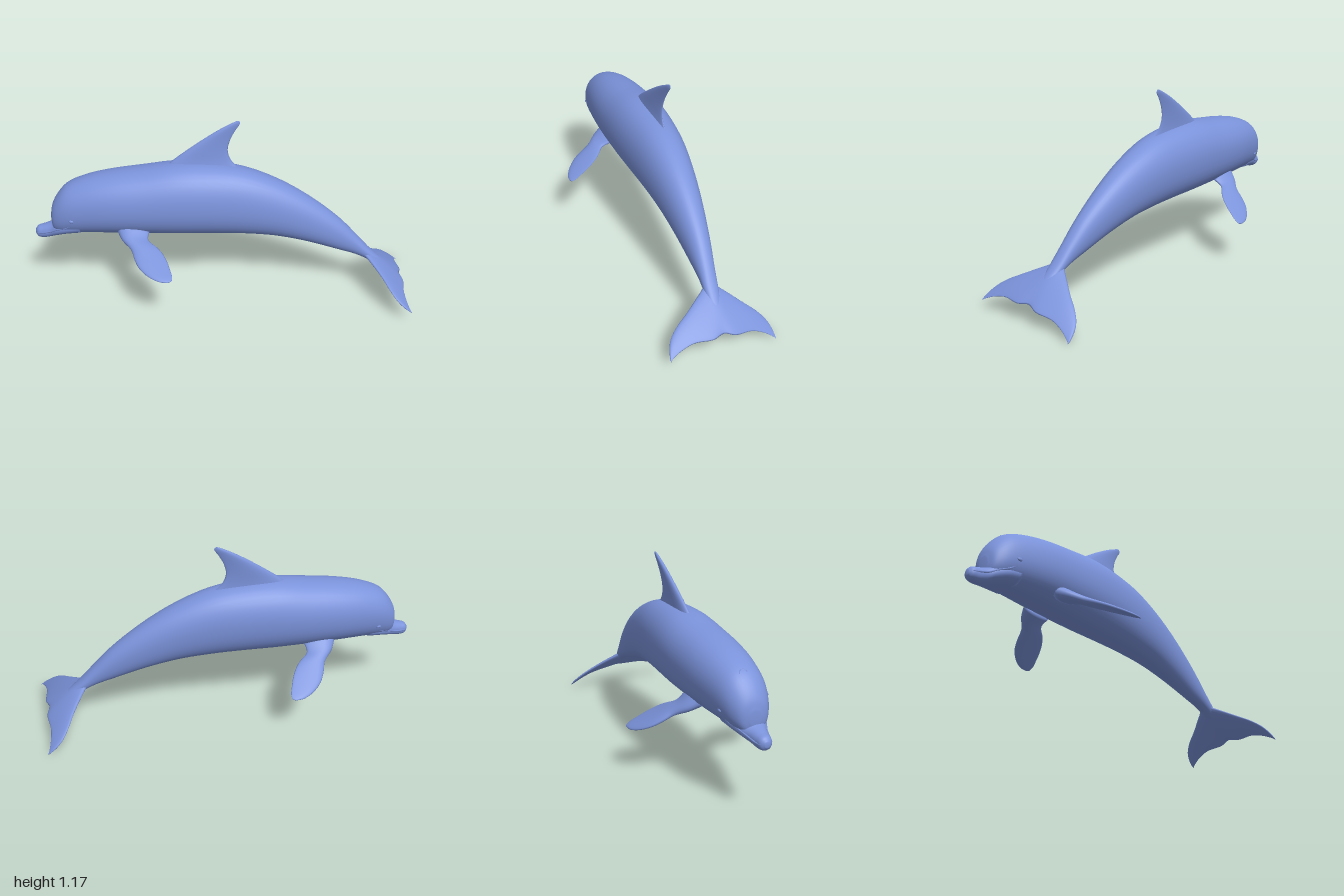
import * as THREE from 'three';

const V = (x, y, z) => new THREE.Vector3(x, y, z);
const skin = new THREE.MeshStandardMaterial({ color: 0x7b93db });

// Smooth closed skin through a row of rings (arrays of points, equal length)
function loft(rings, steps) {
  const n = rings[0].length;
  const rows = (rings.length - 1) * steps + 1;
  const lines = rings[0].map((_, j) =>
    new THREE.CatmullRomCurve3(rings.map(r => r[j])).getPoints(rows - 1));
  const pos = [];
  for (let i = 0; i < rows; i++) for (let j = 0; j < n; j++) pos.push(...lines[j][i].toArray());
  const index = [];
  for (let i = 0; i < rows - 1; i++) {
    for (let j = 0; j < n; j++) {
      const a = i * n + j, b = i * n + (j + 1) % n;
      index.push(a, b, a + n, b, b + n, a + n);
    }
  }
  // end caps
  [[0, false], [rows - 1, true]].forEach(([row, end]) => {
    const c = V(0, 0, 0);
    lines.forEach(l => c.addScaledVector(l[row], 1 / n));
    const ci = pos.length / 3;
    pos.push(c.x, c.y, c.z);
    for (let j = 0; j < n; j++) {
      const a = row * n + j, b = row * n + (j + 1) % n;
      if (end) index.push(a, b, ci); else index.push(b, a, ci);
    }
  });
  // turn the faces outward if the volume comes out negative
  const p = i => V(pos[3 * i], pos[3 * i + 1], pos[3 * i + 2]);
  let volume = 0;
  for (let k = 0; k < index.length; k += 3) {
    volume += p(index[k]).dot(p(index[k + 1]).cross(p(index[k + 2])));
  }
  if (volume < 0) index.reverse();
  const g = new THREE.BufferGeometry();
  g.setAttribute('position', new THREE.Float32BufferAttribute(pos, 3));
  g.setIndex(index);
  g.computeVertexNormals();
  return g;
}

// Upright oval ring from [z, top, bottom, half width]
function oval([z, top, bottom, hw], n = 40) {
  const soft = t => Math.sign(t) * Math.abs(t) ** 0.92;
  return Array.from({ length: n }, (_, j) => {
    const a = j / n * Math.PI * 2;
    return V(hw * soft(Math.cos(a)), (top + bottom) / 2 + (top - bottom) / 2 * soft(Math.sin(a)), z);
  });
}

// Thin lens ring between a leading and a trailing point
function foil(lead, trail, normal, half, n = 20) {
  const mid = lead.clone().add(trail).multiplyScalar(0.5);
  const chord = lead.clone().sub(mid);
  return Array.from({ length: n }, (_, j) => {
    const a = j / n * Math.PI * 2, c = Math.cos(a);
    return mid.clone().addScaledVector(chord, c)
      .addScaledVector(normal, half * Math.sin(a) * (0.8 + 0.3 * c));
  });
}

export function createModel() {
  const root = new THREE.Group();
  root.name = 'dolphin';
  const swimmer = new THREE.Group();
  swimmer.name = 'swimmingBody';
  root.add(swimmer);
  const add = (name, geometry) => {
    const m = new THREE.Mesh(geometry, skin);
    m.name = name;
    swimmer.add(m);
    return m;
  };

  // Body from forehead to tail stock
  add('body', loft([
    [1.183, 0.60, 0.52, 0.03], [1.168, 0.66, 0.48, 0.073], [1.13, 0.725, 0.465, 0.105],
    [1.07, 0.785, 0.465, 0.13], [0.95, 0.835, 0.468, 0.155], [0.8, 0.868, 0.468, 0.175],
    [0.6, 0.895, 0.465, 0.185], [0.4, 0.92, 0.46, 0.185], [0.2, 0.915, 0.458, 0.173],
    [0, 0.885, 0.45, 0.153], [-0.2, 0.81, 0.43, 0.128], [-0.4, 0.695, 0.385, 0.1],
    [-0.6, 0.54, 0.322, 0.07], [-0.72, 0.415, 0.283, 0.052], [-0.82, 0.305, 0.235, 0.042],
    [-0.95, 0.19, 0.165, 0.02],
  ].map(s => oval(s)), 5));

  // Beak and lower jaw
  add('beak', loft([
    [1.0, 0.60, 0.47, 0.115], [1.08, 0.575, 0.46, 0.1], [1.15, 0.545, 0.443, 0.075],
    [1.19, 0.525, 0.43, 0.055], [1.24, 0.508, 0.42, 0.043], [1.275, 0.497, 0.425, 0.034],
    [1.292, 0.475, 0.445, 0.014],
  ].map(s => oval(s)), 5));

  // Dorsal fin: [y, lead z, trail z, half thickness]
  add('dorsalFin', loft([
    [0.84, 0.52, -0.06, 0.05], [0.89, 0.47, 0.025, 0.036], [0.94, 0.415, 0.07, 0.028],
    [1.0, 0.335, 0.087, 0.023], [1.07, 0.235, 0.07, 0.018], [1.13, 0.14, 0.038, 0.014],
    [1.17, 0.066, 0.012, 0.009], [1.185, 0.035, 0.015, 0.004],
  ].map(([y, l, t, h]) => foil(V(0, y, l), V(0, y, t), V(1, 0, 0), h)), 4));

  // Tail flukes, one sweep from tip to tip: [x, lead z, trail z, half thickness]
  const half = [
    [0, -0.75, -1.008, 0.028], [0.07, -0.795, -1.025, 0.021], [0.178, -0.867, -1.012, 0.014],
    [0.25, -0.907, -1.018, 0.011], [0.3, -0.947, -1.03, 0.009], [0.322, -0.985, -1.038, 0.007],
    [0.332, -1.025, -1.045, 0.003],
  ];
  const span = [...half.slice(1).reverse().map(([x, ...r]) => [-x, ...r]), ...half];
  const flukeAt = (x, z) => V(x, 0.29 + (z + 0.78) * 0.68 - 0.6 * x * x, z);
  add('tailFlukes', loft(span.map(([x, l, t, h]) =>
    foil(flukeAt(x, l), flukeAt(x, t), V(0, 0.83, -0.56), h)), 4));

  // Paired parts, mirrored left and right
  for (const s of [1, -1]) {
    const side = s > 0 ? 'left' : 'right';

    // Flipper: lead x, z, trail x, z, half thickness
    const at = (x, z) => V(s * x, 0.58 - 0.55 * x, z);
    add(side + 'Flipper', loft([
      [0.11, 0.77, 0.12, 0.57, 0.05], [0.175, 0.735, 0.175, 0.575, 0.034],
      [0.24, 0.674, 0.222, 0.52, 0.026], [0.3, 0.65, 0.26, 0.485, 0.021],
      [0.355, 0.618, 0.31, 0.455, 0.017], [0.405, 0.56, 0.36, 0.435, 0.013],
      [0.435, 0.495, 0.405, 0.42, 0.009], [0.44, 0.445, 0.43, 0.422, 0.004],
    ].map(([lx, lz, tx, tz, h]) => foil(at(lx, lz), at(tx, tz), V(s * 0.48, 0.88, 0), h)), 4));

    // Mouth line
    const mouth = [[0.03, 0.462, 1.276], [0.043, 0.468, 1.235], [0.054, 0.48, 1.19],
      [0.076, 0.505, 1.14], [0.103, 0.53, 1.08], [0.117, 0.553, 1.045]];
    add(side + 'MouthLine', new THREE.TubeGeometry(
      new THREE.CatmullRomCurve3(mouth.map(([x, y, z]) => V(s * x, y, z))), 30, 0.006, 6));

    // Eye
    const eye = add(side + 'Eye', new THREE.SphereGeometry(0.014, 16, 12));
    eye.position.set(s * 0.131, 0.588, 1.04);
    eye.scale.set(0.6, 0.8, 1.2);
  }

  // Blowhole
  const hole = add('blowhole', new THREE.TorusGeometry(0.022, 0.004, 6, 16, Math.PI));
  hole.position.set(0, 0.774, 1.08);
  hole.rotation.x = -Math.PI / 2 + 0.6;

  // Diagonal heading with a slight roll
  swimmer.rotation.set(0, -0.696, 0.1, 'YXZ');
  swimmer.position.set(-0.019, 0.002, 0.026);
  root.updateMatrixWorld(true);
  swimmer.position.y -= new THREE.Box3().setFromObject(root, true).min.y;
  return root;
}
